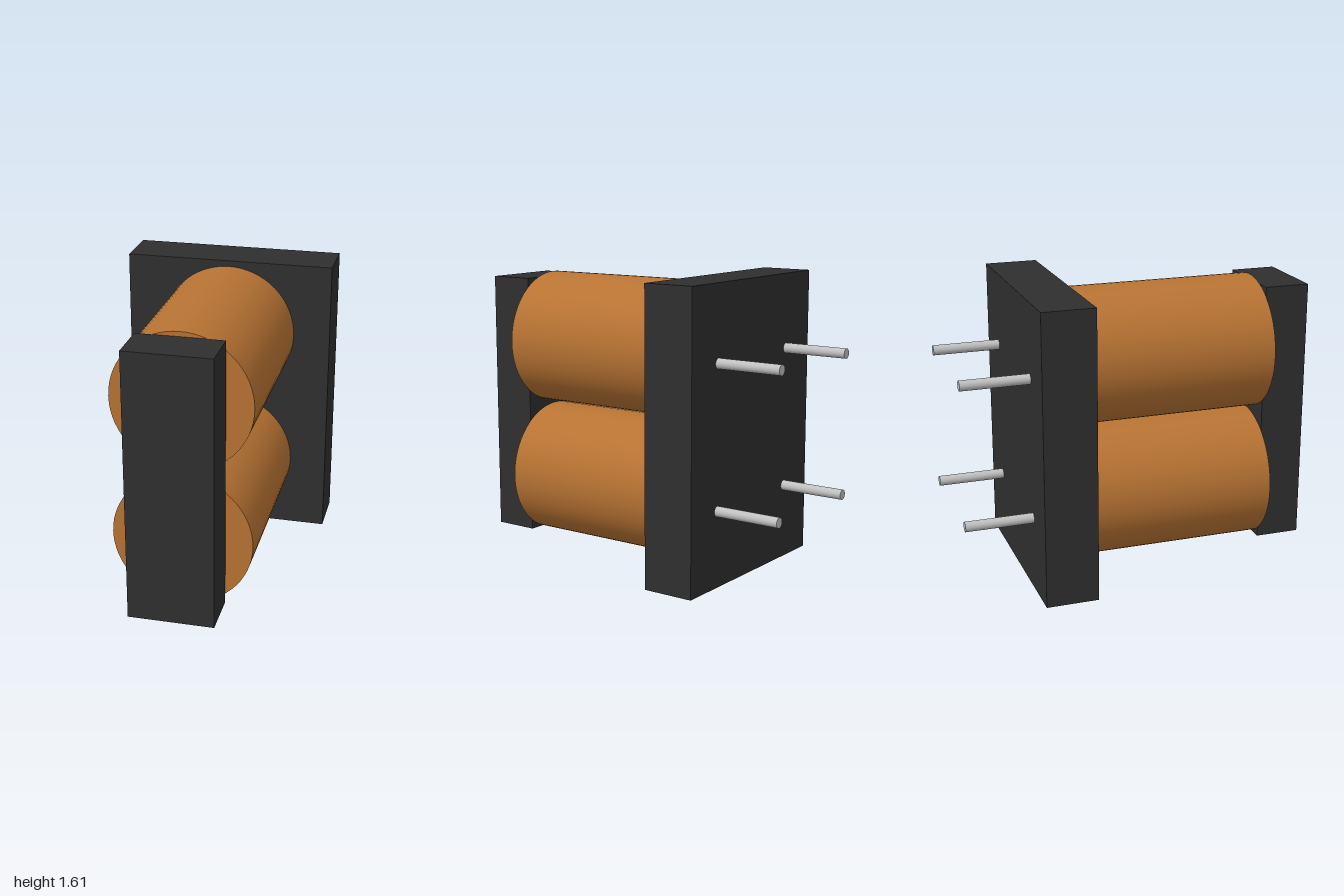
import * as THREE from 'three';

export function createModel() {
  const model = new THREE.Group();
  model.name = 'dualCoilInductor';

  const material = (name, color) => {
    const m = new THREE.MeshStandardMaterial({ color });
    m.name = name;
    return m;
  };
  const black = material('black plastic', 0x2f2f2f);
  const copper = material('copper', 0xb87333);
  const silver = material('silver', 0xc0c0c0);

  // Box spanning zBack..zFront
  const block = (name, w, h, y, zBack, zFront) => {
    const mesh = new THREE.Mesh(new THREE.BoxGeometry(w, h, zFront - zBack), black);
    mesh.name = name;
    mesh.position.set(0, y, (zBack + zFront) / 2);
    model.add(mesh);
  };
  // Cylinder lying along z
  const rod = (name, mat, r, sides, x, y, zBack, zFront) => {
    const geo = new THREE.CylinderGeometry(r, r, zFront - zBack, sides).rotateX(Math.PI / 2);
    const mesh = new THREE.Mesh(geo, mat);
    mesh.name = name;
    mesh.position.set(x, y, (zBack + zFront) / 2);
    model.add(mesh);
  };

  block('basePlate', 1.17, 1.61, 0.805, -0.627, -0.337);
  block('frontYoke', 0.464, 1.486, 0.807, 0.747, 1);

  // Two stacked windings, each with a pair of terminal pins
  for (const [label, y] of [['lower', 0.418], ['upper', 1.198]]) {
    rod(label + 'Coil', copper, 0.379, 64, 0, y, -0.337, 0.747);
    rod(label + 'LeftPin', silver, 0.028, 20, 0.341, y, -1, -0.627);
    rod(label + 'RightPin', silver, 0.028, 20, -0.341, y, -1, -0.627);
  }

  return model;
}
